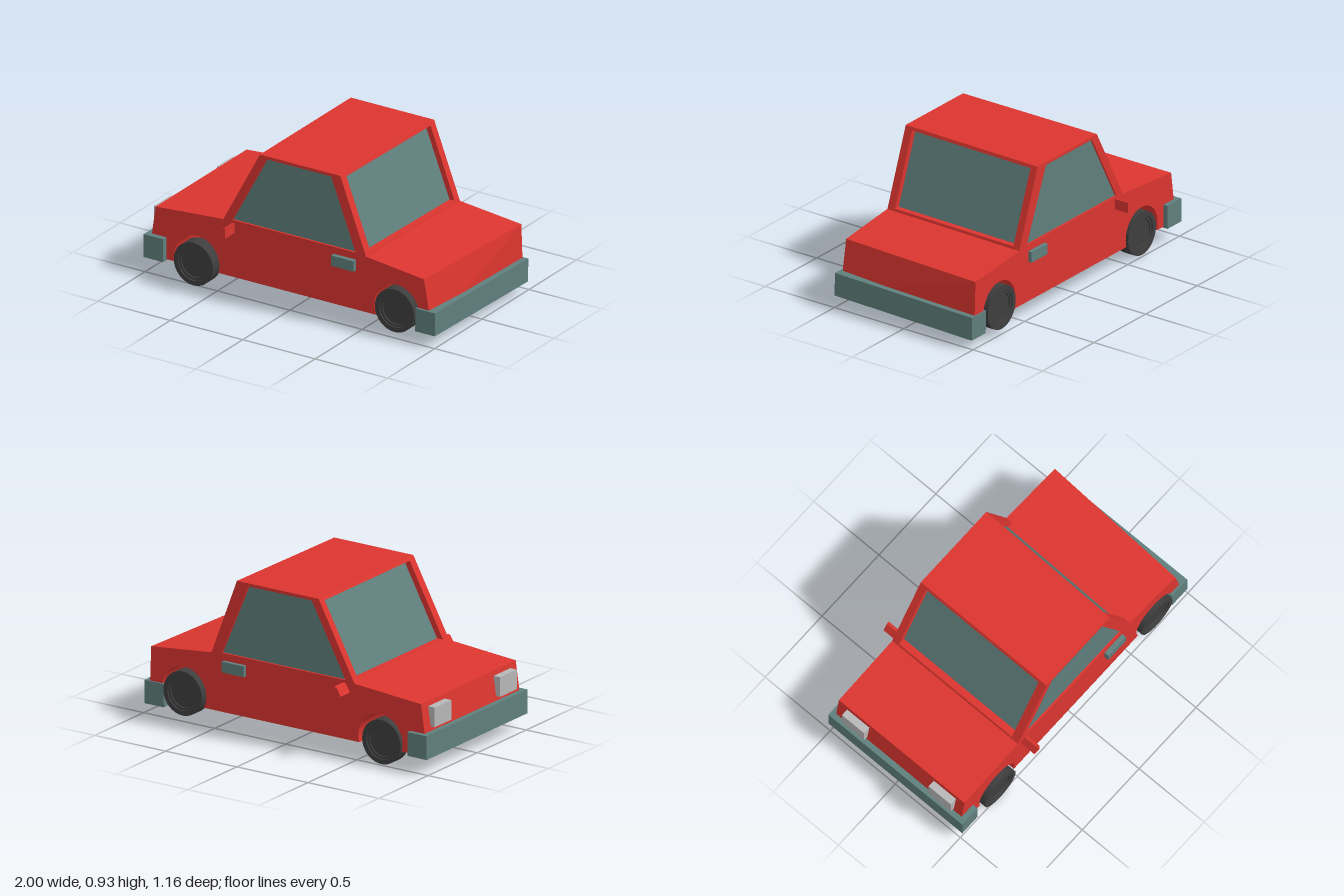
import * as THREE from 'three';
import { toCreasedNormals } from 'three/addons/utils/BufferGeometryUtils.js';

const flat = (name, color) => {
  const m = new THREE.MeshStandardMaterial({ color });
  m.name = name;
  return m;
};

const polygon = (points) => new THREE.Shape(points.map(([x, y]) => new THREE.Vector2(x, y)));

// Extrudes a side profile between two z positions.
function slab(shape, z0, z1) {
  const geometry = new THREE.ExtrudeGeometry(shape, { depth: z1 - z0, bevelEnabled: false, curveSegments: 28 });
  return geometry.translate(0, 0, z0);
}

// Skews the rear of a part so that its two sides differ slightly in length.
function skewRear(geometry, fromX, amount) {
  const p = geometry.attributes.position;
  for (let i = 0; i < p.count; i++) {
    if (p.getX(i) > fromX) p.setX(i, p.getX(i) - p.getZ(i) * amount(p.getY(i)));
  }
  geometry.computeVertexNormals();
  return geometry;
}

export function createModel() {
  const car = new THREE.Group();
  car.name = 'car';
  const red = flat('red paint', 0xdc352f);
  const teal = flat('grey teal', 0x5f7f7c);
  const black = flat('tyre black', 0x3e3e3e);
  const grey = flat('lamp grey', 0xb8b8b8);

  const add = (name, geometry, material, x = 0, y = 0, z = 0) => {
    const mesh = new THREE.Mesh(geometry, material);
    mesh.name = name;
    mesh.position.set(x, y, z);
    car.add(mesh);
    return mesh;
  };

  // Lower body with wheel arches running right through
  const floor = 0.105;
  const body = new THREE.Shape();
  const arch = (cx, cy, r) => {
    const a = Math.asin((floor - cy) / r);
    body.absarc(cx, cy, r, a, Math.PI - a, false);
  };
  body.moveTo(-0.985, floor);
  arch.call(null, 0, 0, 0) === undefined && (body.curves.length = 0);
  body.curves.length = 0;
  body.currentPoint.set(0.968, floor);
  arch(0.725, 0.175, 0.155);
  arch(-0.655, 0.15, 0.155);
  body.lineTo(-0.985, floor);
  body.lineTo(-0.94, 0.42);
  body.lineTo(-0.475, 0.455);
  body.lineTo(0.525, 0.455);
  body.lineTo(0.935, 0.41);
  body.lineTo(0.968, floor);
  add('body', skewRear(slab(body, -0.485, 0.48), 0.9, (y) => 0.15 * (y - floor)), red);

  // Cabin side frames with window openings
  const cabinSkew = () => 0.02;
  const frame = polygon([[-0.475, 0.45], [0.525, 0.45], [0.345, 0.925], [-0.22, 0.925]]);
  frame.holes.push(polygon([[-0.41, 0.465], [-0.168, 0.913], [0.27, 0.913], [0.45, 0.465]]));
  add('leftWindowFrame', skewRear(slab(frame, 0.428, 0.48), 0.3, cabinSkew), red);
  add('rightWindowFrame', skewRear(slab(frame, -0.485, -0.438), 0.3, cabinSkew), red);

  // Roof and the sills below the front and rear windows
  const roof = polygon([[-0.23, 0.906], [0.352, 0.906], [0.345, 0.925], [-0.22, 0.925]]);
  add('roof', skewRear(slab(roof, -0.4845, 0.4795), 0.3, cabinSkew), red);
  const sill = polygon([[-0.475, 0.45], [0.525, 0.45], [0.519, 0.47], [-0.465, 0.47]]);
  add('windowSill', skewRear(slab(sill, -0.45, 0.44), 0.3, cabinSkew), red);

  // Recessed glass filling the cabin
  const glass = polygon([[-0.43, 0.456], [0.488, 0.456], [0.312, 0.912], [-0.185, 0.912]]);
  add('windows', skewRear(slab(glass, -0.473, 0.468), 0.3, cabinSkew), teal);

  // Bumpers; the rear one hangs slightly crooked
  add('frontBumper', new THREE.BoxGeometry(0.135, 0.145, 1.03), teal, -0.9325, 0.171, 0);
  add('rearBumper', new THREE.BoxGeometry(0.135, 0.144, 0.99), teal, 0.9325, 0.138, 0.003).rotation.x = -0.022;

  // Headlights, mirrors and door handles
  const mirror = polygon([[-0.44, 0.395], [-0.395, 0.385], [-0.395, 0.45], [-0.412, 0.445]]);
  for (const [side, s] of [['left', 1], ['right', -1]]) {
    add(side + 'Headlight', new THREE.BoxGeometry(0.06, 0.12, 0.17), grey, -0.96, 0.33, s * 0.333);
    add(side + 'Mirror', slab(mirror, -0.05, 0.05), red, 0, 0, s * 0.53);
    add(side + 'DoorHandle', new THREE.BoxGeometry(0.155, 0.066, 0.05), teal, 0.3675, 0.388, s * 0.485);
  }

  // Wheels with a stepped, recessed hub on the outside
  const profile = [
    [0, -0.042], [0.135, -0.042], [0.135, 0.042], [0.106, 0.042], [0.104, 0.034], [0.09, 0.034], [0.088, 0.026], [0, 0.026],
  ].map(([r, y]) => new THREE.Vector2(r, y));
  const wheel = toCreasedNormals(new THREE.LatheGeometry(profile, 32), 0.5);
  for (const [name, x, y, z] of [
    ['frontLeftWheel', -0.66, 0.135, 0.468], ['frontRightWheel', -0.66, 0.135, -0.442],
    ['rearLeftWheel', 0.725, 0.175, 0.463], ['rearRightWheel', 0.725, 0.17, -0.46],
  ]) {
    add(name, wheel, black, x, y, z).rotation.x = Math.sign(z) * Math.PI / 2;
  }
  return car;
}
